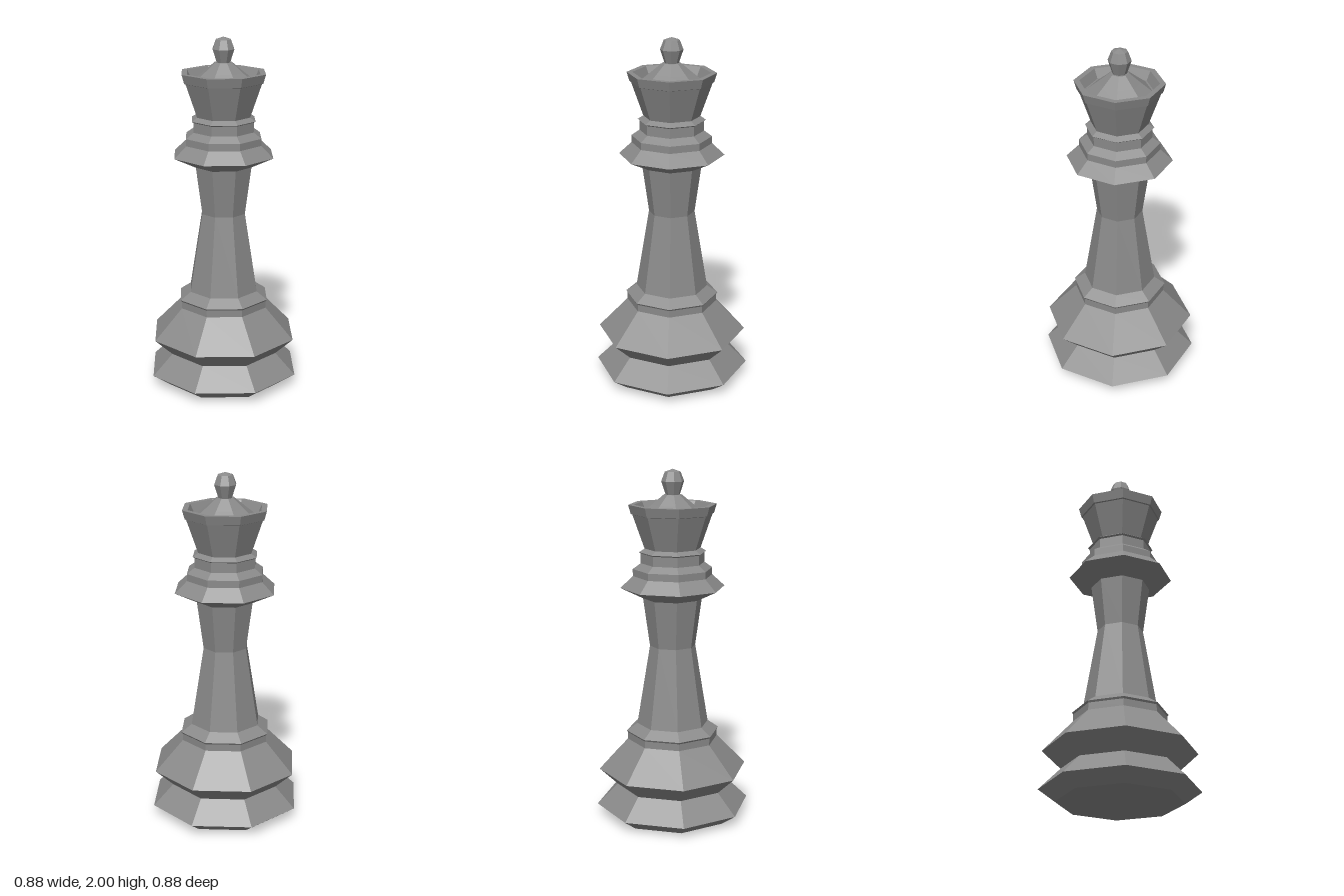
import * as THREE from 'three';

const SIDES = 8;
const material = new THREE.MeshStandardMaterial({ color: 0x8a8a8a, flatShading: true });

// Octagonal turning: profile of [radius, height] pairs, running outside from bottom to top
function turned(name, profile) {
  const points = profile.map(([r, y]) => new THREE.Vector2(r, y));
  const geometry = new THREE.LatheGeometry(points, SIDES).toNonIndexed();
  geometry.computeVertexNormals();
  const mesh = new THREE.Mesh(geometry, material);
  mesh.name = name;
  return mesh;
}

export function createModel() {
  const group = new THREE.Group();
  group.name = 'chessQueen';

  group.add(
    // Two flared tiers, closed underneath
    turned('base', [[0, 0], [0.35, 0], [0.442, 0.065], [0.323, 0.182], [0.427, 0.28], [0.26, 0.455]]),
    // Small stepped ring where the shaft meets the base
    turned('baseRing', [[0.26, 0.455], [0.26, 0.495], [0.267, 0.505], [0.205, 0.548]]),
    // Waisted column
    turned('shaft', [[0.205, 0.548], [0.13, 1.005], [0.168, 1.28]]),
    // Wide collar with stacked bands
    turned('collar', [
      [0.168, 1.28], [0.296, 1.342], [0.225, 1.408], [0.225, 1.448], [0.18, 1.48],
      [0.18, 1.535], [0.19, 1.542], [0.158, 1.562],
    ]),
    // Flared crown with a rim and hollow top
    turned('crown', [
      [0.158, 1.562], [0.225, 1.752], [0.233, 1.755], [0.248, 1.806],
      [0.216, 1.806], [0.19, 1.755], [0.18, 1.755],
    ]),
    // Shallow cone rising inside the crown
    turned('crownDome', [[0.18, 1.755], [0.115, 1.806], [0.05, 1.86], [0.04, 1.86]]),
    // Faceted knob
    turned('finial', [[0.04, 1.86], [0.064, 1.933], [0.044, 1.985], [0, 2]]),
  );
  return group;
}
